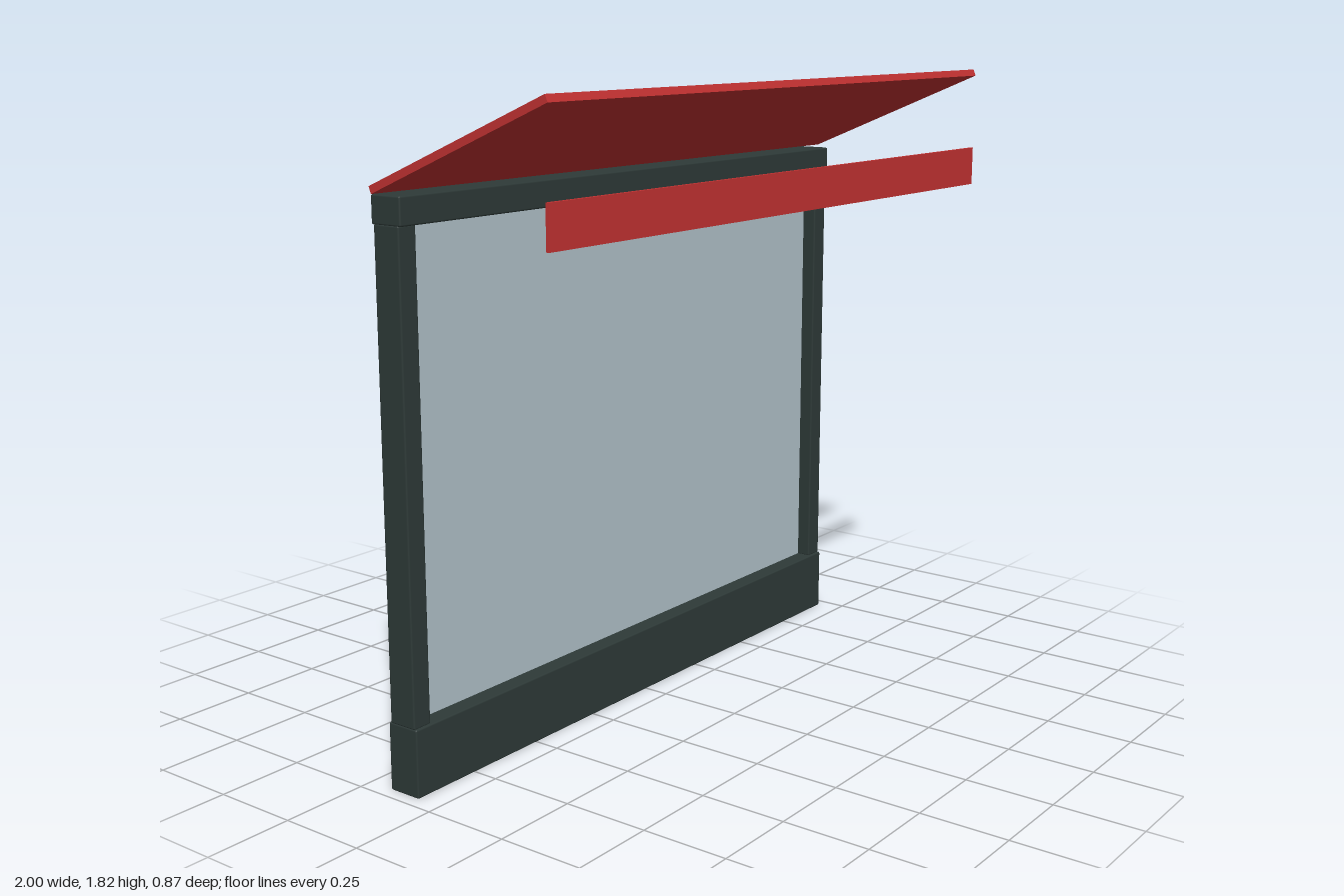
import * as THREE from 'three';
import { RoundedBoxGeometry } from 'three/addons/geometries/RoundedBoxGeometry.js';
import { toCreasedNormals } from 'three/addons/utils/BufferGeometryUtils.js';

function material(name, color, side = THREE.FrontSide) {
  const m = new THREE.MeshStandardMaterial({ color, side });
  m.name = name;
  return m;
}

export function createModel() {
  const group = new THREE.Group();
  const frame = material('dark frame', 0x2e3a38);
  const red = material('awning red', 0xc43232);
  const glass = material('pale glass', 0xb2c3cb, THREE.DoubleSide);
  const ivory = material('ivory', 0xded7cd);

  function add(name, geometry, mat, x, y, z) {
    const mesh = new THREE.Mesh(geometry, mat);
    mesh.name = name;
    mesh.position.set(x, y, z);
    group.add(mesh);
    return mesh;
  }
  const slab = (w, h, d, r = 0.005) => new RoundedBoxGeometry(w, h, d, 1, r);

  // Window frame
  const z = -0.122;
  add('bottomRail', slab(1.93, 0.19, 0.1), frame, 0, 0.095, z);
  add('topRail', slab(1.93, 0.075, 0.1), frame, 0, 1.523, z);
  for (const side of [-1, 1]) {
    add(side > 0 ? 'leftPost' : 'rightPost', slab(0.06, 1.3, 0.086), frame, side * 0.935, 1.838 - 1, z);
  }
  add('windowPane', new THREE.PlaneGeometry(1.81, 1.3), glass, 0, 0.838, z);

  // Sloping awning, rising towards the front, with a separate hanging valance
  const awning = add('awning', new THREE.BoxGeometry(2, 0.02, 0.612), red, 0, 1.692, 0.147);
  awning.rotation.x = -0.394;
  add('valance', new THREE.BoxGeometry(2, 0.112, 0.01), red, 0, 1.525, 0.428);

  // Display plinth behind the window
  add('displayPlinth', slab(0.895, 0.315, 0.255), frame, 0, 0.358, -0.305);

  // Pair of faceted busts
  const profile = [
    [0, 0.525], [0.042, 0.532], [0.104, 0.637], [0.081, 0.775],
    [0.103, 0.892], [0.045, 0.954], [0, 0.968],
  ].map(([r, y]) => new THREE.Vector2(r, y));
  const bust = toCreasedNormals(new THREE.LatheGeometry(profile, 10), 0.85);
  for (const side of [-1, 1]) {
    add(side > 0 ? 'leftBust' : 'rightBust', bust, ivory, side * 0.27, 0, -0.306);
  }
  return group;
}
